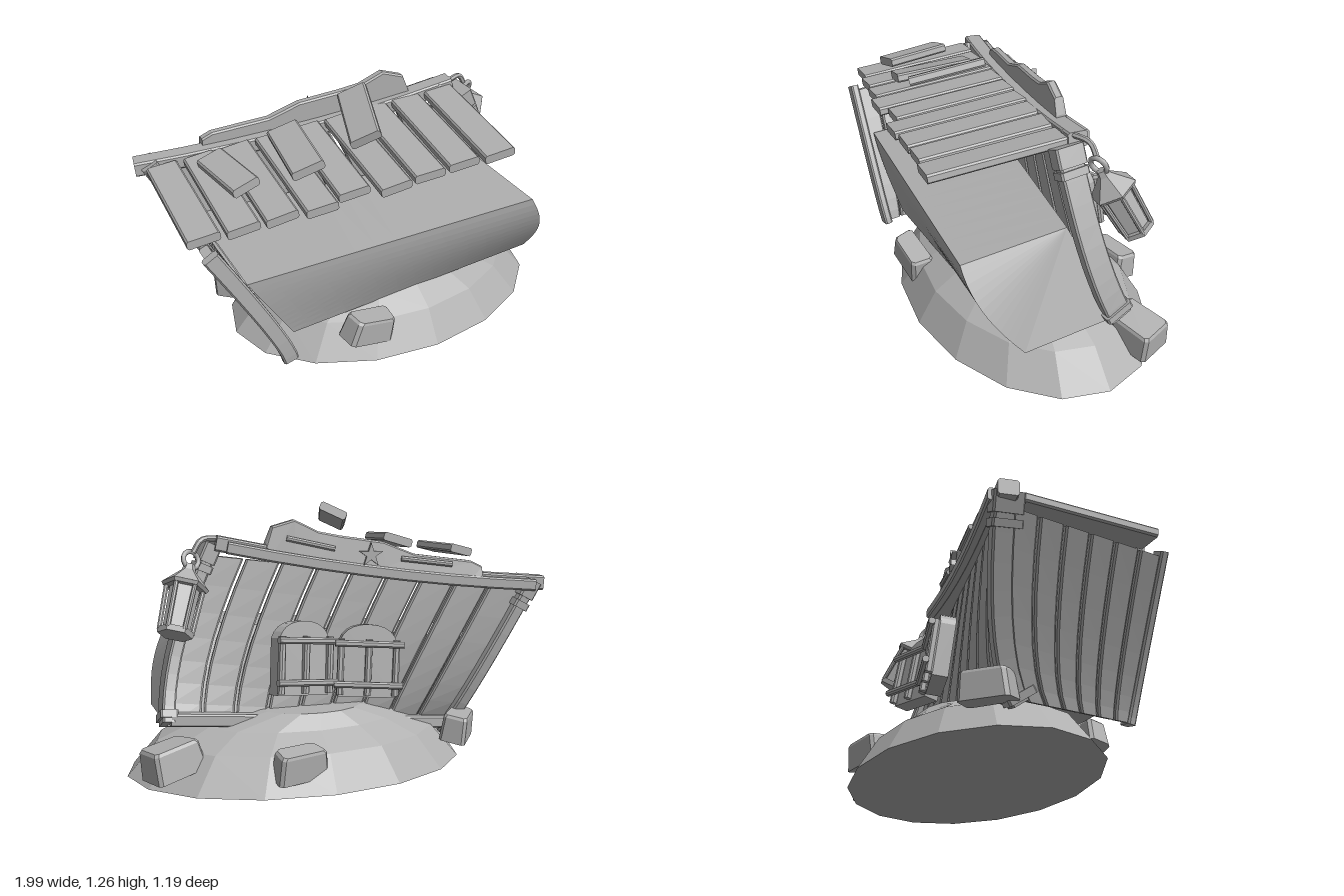
import * as THREE from 'three';

const V = (x, y, z) => new THREE.Vector3(x, y, z);
const lerp = THREE.MathUtils.lerp;

// Skin a list of equal-length rings, cap both ends and keep the faces flat
function loft(rings) {
  const out = [];
  const n = rings[0].length;
  const tri = (a, b, c) => out.push(a.x, a.y, a.z, b.x, b.y, b.z, c.x, c.y, c.z);
  for (let i = 0; i < rings.length - 1; i++) {
    for (let j = 0; j < n; j++) {
      const k = (j + 1) % n, a = rings[i], b = rings[i + 1];
      tri(a[j], a[k], b[k]);
      tri(a[j], b[k], b[j]);
    }
  }
  const last = rings[rings.length - 1];
  for (let j = 1; j < n - 1; j++) {
    tri(rings[0][0], rings[0][j + 1], rings[0][j]);
    tri(last[0], last[j], last[j + 1]);
  }
  // turn the skin outward if its volume is negative
  let vol = 0;
  const p = (i) => V(out[i], out[i + 1], out[i + 2]);
  const o = rings[0][0];
  for (let i = 0; i < out.length; i += 9) {
    vol += p(i).sub(o).dot(p(i + 3).sub(o).cross(p(i + 6).sub(o)));
  }
  if (vol < 0) {
    for (let i = 0; i < out.length; i += 9) {
      for (let k = 0; k < 3; k++) [out[i + 3 + k], out[i + 6 + k]] = [out[i + 6 + k], out[i + 3 + k]];
    }
  }
  const g = new THREE.BufferGeometry();
  g.setAttribute('position', new THREE.Float32BufferAttribute(out, 3));
  g.computeVertexNormals();
  return g;
}

// Cut the corners of a four-point ring
function chamfer(q, c = 0.008) {
  const cut = (a, b) => a.clone().add(b.clone().sub(a).setLength(Math.min(c, a.distanceTo(b) * 0.3)));
  return q.flatMap((p, i) => [cut(p, q[(i + 3) % 4]), cut(p, q[(i + 1) % 4])]);
}

// Chamfered bar of width w and height h along a path
function bar(path, w, h, up = V(0, 1, 0)) {
  return loft(path.map((p, i) => {
    const d = path[Math.min(i + 1, path.length - 1)].clone().sub(path[Math.max(i - 1, 0)]).normalize();
    const s = up.clone().cross(d).normalize();
    const t = d.clone().cross(s);
    return chamfer([[-1, -1], [1, -1], [1, 1], [-1, 1]].map(([a, b]) =>
      p.clone().addScaledVector(s, a * w / 2).addScaledVector(t, b * h / 2)));
  }));
}

const flat = (g) => {
  const f = g.index ? g.toNonIndexed() : g;
  f.computeVertexNormals();
  return f;
};

export function createModel() {
  const model = new THREE.Group();
  const grey = new THREE.MeshStandardMaterial({ color: 0xb0b0b0 });
  grey.name = 'plainGrey';
  const add = (name, geometry, parent = model) => {
    const m = new THREE.Mesh(geometry, grey);
    m.name = name;
    parent.add(m);
    return m;
  };

  // Faceted mound
  const moundRing = (s, y, cx = 0.155, cz = -0.03) => Array.from({ length: 16 }, (_, i) => {
    const a = i / 16 * Math.PI * 2;
    return V(cx + Math.cos(a) * 0.835 * s, y, cz + Math.sin(a) * 0.567 * s);
  });
  add('mound', loft([moundRing(1, 0), moundRing(0.83, 0.16), moundRing(0.62, 0.235), moundRing(0.3, 0.3, 0.13, -0.15)]));

  // Rocks set around the mound: position, size, rotation
  [
    [[-0.165, 0.16, 0.42], [0.26, 0.13, 0.13], [0.1, 0.1, -0.25]],
    [[0.83, 0.14, -0.28], [0.25, 0.14, 0.2], [0.1, 0.4, -0.2]],
    [[0.3, 0.13, -0.5], [0.25, 0.13, 0.13], [-0.15, 0.25, 0]],
    [[-0.6, 0.17, -0.28], [0.13, 0.13, 0.24], [-0.05, -0.7, 0.1]],
  ].forEach(([p, s, r]) => {
    const ring = (y, k) => chamfer([[-1, -1], [1, -0.9], [0.85, 1], [-0.9, 0.8]].map(([x, z]) =>
      V(x * s[0] / 2 * k, y * s[1] / 2, z * s[2] / 2 * k)), 0.015);
    const m = add('rock', loft([ring(-1, 1.02), ring(0.8, 0.92), ring(1, 0.84)]));
    m.position.set(...p);
    m.rotation.set(...r);
  });

  // Solid counter with a bowed front, skinned from its left end to its right end
  const counterRings = [];
  for (let i = 0; i <= 14; i++) {
    const u = i / 14;
    const ring = [
      V(lerp(-0.75, 0.65, u), lerp(0.59, 0.71, u), lerp(-0.27, 0.02, u)),
      V(lerp(-0.52, 0.82, u), lerp(0.17, 0.26, u), lerp(-0.12, -0.17, u)),
    ];
    for (let j = 0; j <= 12; j++) {
      const v = j / 12, f = Math.sin(v * Math.PI / 2), bow = Math.sin(v * Math.PI) * 0.035 * u;
      ring.push(V(
        lerp(lerp(-0.52, -0.75, v), lerp(0.82, 0.65, v), u) + bow,
        lerp(lerp(0.19, 0.58, v), lerp(0.25, 0.695, v), u),
        lerp(lerp(0.32, 0.37, f), lerp(0.32, 0.54, f), u)));
    }
    counterRings.push(ring);
  }
  add('counter', loft(counterRings));

  // Curved edges that carry the leaning walls
  const curve = (a, b, c) => new THREE.QuadraticBezierCurve3(V(...a), V(...b), V(...c));
  const leftEdge = curve([-0.575, 0.13, -0.1], [-0.62, 0.3, -0.25], [-0.91, 0.86, -0.32]);
  const rightEdge = curve([0.81, 0.27, -0.15], [0.8, 0.55, 0], [0.57, 1.04, 0.01]);
  const frontEdge = curve([-0.56, 0.12, 0.4], [-0.58, 0.24, 0.42], [-0.9, 0.81, 0.41]);

  // Row of bent boards between two edges
  const boards = (name, e0, e1, count, out, top) => {
    for (let i = 0; i < count; i++) {
      const u0 = (i + 0.03) / count, u1 = (i + 0.95) / count;
      const rings = [];
      for (let j = 0; j <= 7; j++) {
        const v = lerp(0.02, top, j / 7);
        const at = (u) => e0.getPoint(v).lerp(e1.getPoint(v), u);
        const a = at(u0), b = at(u1);
        rings.push(chamfer([a, b, b.clone().add(out), a.clone().add(out)]));
      }
      add(name, loft(rings));
    }
  };
  boards('backBoard', leftEdge, rightEdge, 9, V(0.007, 0, -0.04), 0.98);
  boards('sideBoard', leftEdge, frontEdge, 6, V(-0.04, -0.015, 0), 0.975);

  // Corner posts with collars
  [[leftEdge, -0.01], [rightEdge, 0.01]].forEach(([e, dx]) => {
    const pts = e.getPoints(9).map((p) => p.add(V(dx, 0, -0.02)));
    add('cornerPost', bar(pts, 0.06, 0.12, V(0, 0, 1)));
    [[0.06, 0.035], [0.92, 0.035], [0.99, 0.09]].forEach(([t, h]) => {
      const p = e.getPoint(t).add(V(dx, 0, -0.02)), d = e.getTangent(t).multiplyScalar(h / 2);
      add('postCollar', bar([p.clone().sub(d), p.clone().add(d)], 0.08, 0.14, V(0, 0, 1)));
    });
  });

  // Narrow post closing the front of the side wall
  add('frontPost', bar(frontEdge.getPoints(9).map((p) => p.add(V(-0.015, -0.01, -0.005))), 0.075, 0.04, V(0, 0, 1)));

  // Sill along the foot of the back wall
  const sill = [0, 0.25, 0.5, 0.75, 1].map((u) =>
    leftEdge.getPoint(0.08).lerp(rightEdge.getPoint(0.05), u).add(V(0, 0, -0.055)));
  add('backSill', bar(sill, 0.06, 0.06));

  // Roof planks, rising and reaching further forward to the right
  for (let i = 0; i < 9; i++) {
    const t = i / 8, wob = [0, 0.01, 0.01, 0.03, -0.02, 0.03, 0.01, 0, 0.01][i];
    const back = V(lerp(-0.885, 0.475, t), lerp(0.88, 1.06, t), lerp(-0.27, -0.05, t));
    const front = V(lerp(-0.915, 0.4, t), lerp(0.85, 1.015, t), lerp(0.35, 0.57, t) + wob);
    add('roofPlank', bar([back, front], 0.147, 0.042, V(-0.1 - (i % 3) * 0.03, 1, 0)));
  }

  // Loose planks lifting off the roof
  [
    [V(-0.73, 1.01, -0.03), V(-0.69, 1.01, 0.29), 0.13, -0.25],
    [V(-0.38, 1.07, -0.02), V(-0.43, 1.05, 0.35), 0.15, -0.3],
    [V(-0.06, 1.215, 0.05), V(-0.17, 1.145, 0.38), 0.14, -0.5],
  ].forEach(([a, b, w, lean]) => add('loosePlank', bar([a, b], w, 0.042, V(lean, 1, 0))));

  // Sagging beams across the top of the back wall
  const beam = (x0, x1, dy, dz) => Array.from({ length: 8 }, (_, i) => {
    const x = lerp(x0, x1, i / 7), t = (x + 1) / 1.56;
    return V(x, 0.87 + 0.08 * t + 0.13 * t * t + dy, -0.365 + 0.29 * t + dz + 0.015 * Math.sin(t * Math.PI));
  });
  add('roofBeam', bar(beam(-0.99, 0.56, 0, 0), 0.09, 0.07));
  add('trimBeam', bar(beam(-0.93, 0.52, -0.01, -0.055), 0.045, 0.055));

  // Crest board standing behind the roof
  const crest = [[-0.67, 0.9, 0.96], [-0.62, 0.9, 0.985], [-0.35, 0.92, 1.02], [-0.2, 0.95, 1.08], [0, 0.98, 1.11],
    [0.1, 1.0, 1.13], [0.21, 1.02, 1.185], [0.31, 1.03, 1.155], [0.34, 1.05, 1.08]];
  const crestZ = (x) => -0.06 + (x - 0.55) * 0.2;
  add('crestBoard', loft(crest.map(([x, lo, hi]) => {
    const z = crestZ(x);
    return chamfer([V(x, lo, z), V(x, hi, z), V(x, hi, z - 0.045), V(x, lo, z - 0.06)]);
  })));
  [[-0.52, -0.28, 0.97, 1.0], [0.03, 0.25, 1.05, 1.1]].forEach(([x0, x1, y0, y1]) =>
    add('crestStrip', bar([V(x0, y0, crestZ(x0) - 0.055), V(x1, y1, crestZ(x1) - 0.055)], 0.025, 0.025)));

  // Star ornament on the crest
  const star = new THREE.Shape();
  for (let i = 0; i < 10; i++) {
    const a = i / 10 * Math.PI * 2 + Math.PI / 2, r = i % 2 ? 0.022 : 0.058;
    star[i ? 'lineTo' : 'moveTo'](Math.cos(a) * r, Math.sin(a) * r);
  }
  const starMesh = add('star', new THREE.ExtrudeGeometry(star, { depth: 0.025, bevelEnabled: false }));
  starMesh.position.set(-0.13, 1.02, crestZ(-0.13) - 0.08);
  starMesh.rotation.y = -0.2;

  // Panel with an arched top
  const arch = (w, h, depth) => {
    const s = new THREE.Shape();
    s.moveTo(-w / 2, -h / 2);
    s.lineTo(w / 2, -h / 2);
    s.lineTo(w / 2, h / 2 - w * 0.3);
    s.quadraticCurveTo(w * 0.4, h / 2, 0, h / 2);
    s.quadraticCurveTo(-w * 0.4, h / 2, -w / 2, h / 2 - w * 0.3);
    return new THREE.ExtrudeGeometry(s, { depth, bevelEnabled: false, curveSegments: 5 });
  };

  // Two boxy open shutters with uprights and cross bars
  [[0.22, 0.56, -0.285, 0.26], [-0.1, 0.53, -0.305, -0.24]].forEach(([x, y, z, turn]) => {
    const shutter = new THREE.Group();
    shutter.name = 'shutter';
    add('shutterPanel', arch(0.27, 0.34, 0.075), shutter).position.z = -0.03;
    [-0.13, 0, 0.13].forEach((px) => add('shutterUpright', bar([V(px, -0.16, -0.045), V(px, 0.1, -0.045)], 0.03, 0.035, V(0, 0, 1)), shutter));
    [-0.11, 0.08].forEach((py) => add('shutterBar', bar([V(-0.16, py, -0.068), V(0.16, py, -0.068)], 0.03, 0.03), shutter));
    shutter.position.set(x, y, z);
    shutter.rotation.set(0.12, turn, 0.08);
    model.add(shutter);
  });

  // Lantern arm and hanging lantern
  const arm = new THREE.CatmullRomCurve3([V(0.48, 1.085, -0.05), V(0.55, 1.1, -0.06), V(0.63, 1.095, -0.09), V(0.67, 1.04, -0.1)]);
  add('lanternArm', flat(new THREE.TubeGeometry(arm, 12, 0.013, 6, false)));
  const lantern = new THREE.Group();
  lantern.name = 'lantern';
  const hex = (name, r0, r1, h, y) => add(name, flat(new THREE.CylinderGeometry(r0, r1, h, 6)), lantern).position.y = y;
  add('lanternRing', new THREE.TorusGeometry(0.04, 0.012, 6, 14), lantern).position.y = -0.02;
  hex('lanternKnob', 0.024, 0.032, 0.03, -0.06);
  hex('lanternRoof', 0.028, 0.108, 0.08, -0.11);
  hex('lanternRoofRim', 0.108, 0.098, 0.015, -0.157);
  hex('lanternGlass', 0.068, 0.06, 0.21, -0.26);
  hex('lanternBase', 0.083, 0.078, 0.025, -0.375);
  for (let i = 0; i < 6; i++) {
    const a = i / 6 * Math.PI * 2, c = Math.cos(a), s = Math.sin(a);
    add('lanternPost', bar([V(s * 0.083, -0.16, c * 0.083), V(s * 0.073, -0.37, c * 0.073)], 0.02, 0.02, V(s, 0, c)), lantern);
  }
  lantern.position.set(0.675, 1.025, -0.095);
  lantern.rotation.set(0.32, 0.4, 0.33);
  model.add(lantern);

  return model;
}
